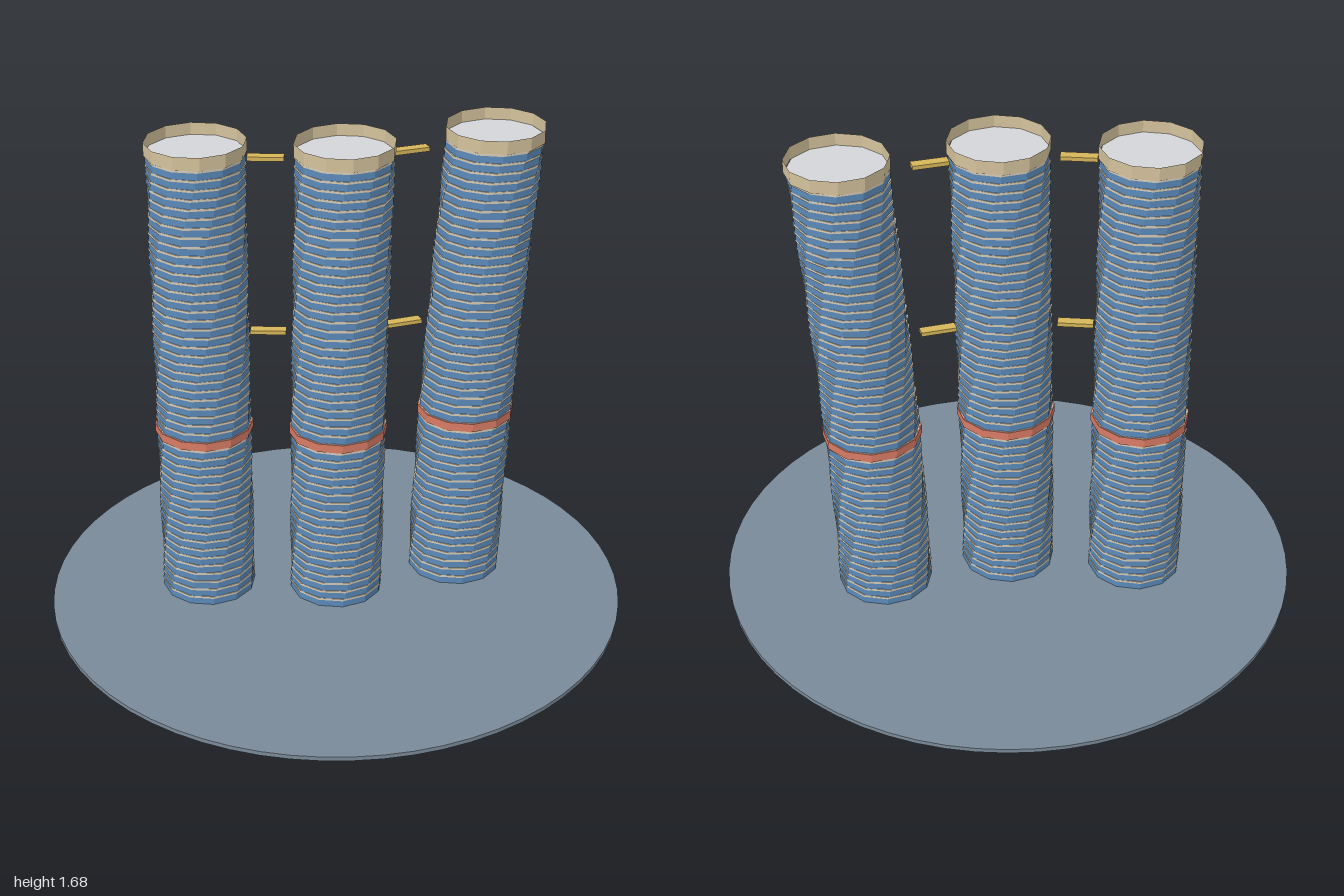
import * as THREE from 'three';
import { mergeGeometries } from 'three/addons/utils/BufferGeometryUtils.js';

const SIDES = 12, FLOORS = 50, BASE = 0.015, TOP = 1.635;
const STEP = (TOP - BASE) / FLOORS, SLAB = 0.008, R = 0.162;
const TWIST = THREE.MathUtils.degToRad(3);
const BAND_FLOOR = 19;

function mat(name, color, extra = {}) {
  const m = new THREE.MeshStandardMaterial({ color, flatShading: true, ...extra });
  m.name = name;
  return m;
}

export function createModel() {
  const glass = mat('blue glass', 0x5b8aba);
  const concrete = mat('pale concrete', 0xd6cab4);
  const sand = mat('crown sand', 0xd4c29c, { side: THREE.DoubleSide });
  const coral = mat('coral', 0xd97c66);
  const brass = mat('brass', 0xd6b65a);
  const roofGrey = mat('roof grey', 0xd3d5d9);
  const slate = mat('slate', 0x7a8a99);

  const model = new THREE.Group();
  model.name = 'twistedTowers';
  const add = (parent, name, geometry, material) => {
    const mesh = new THREE.Mesh(geometry, material);
    mesh.name = name;
    parent.add(mesh);
    return mesh;
  };

  // Sideways drift of a tower at height y
  const drift = (lean, y) => lean * Math.pow(Math.max(0, y - BASE) / (TOP - BASE), 1.4);

  // One prism of a tower, centred at height y and turned by the twist there
  const prism = (r, h, y, lean, floor, open = false) =>
    new THREE.CylinderGeometry(r, r, h, SIDES, 1, open)
      .rotateY(floor * TWIST)
      .translate(drift(lean, y), y, 0);

  // Round ground plate
  add(model, 'groundPlate', new THREE.CylinderGeometry(1, 1, BASE, 64), slate).position.y = BASE / 2;

  function tower(name, x, z, lean) {
    const group = new THREE.Group();
    group.name = name;
    group.position.set(x, 0, z);
    const floors = [], slabs = [];
    for (let i = 0; i < FLOORS; i++) {
      const y = BASE + (i + 0.5) * STEP;
      floors.push(prism(R, STEP - SLAB, y - SLAB / 2, lean, i));
      slabs.push(prism(R + 0.002, SLAB, y + (STEP - SLAB) / 2, lean, i));
    }
    add(group, 'glassFloors', mergeGeometries(floors), glass);
    add(group, 'floorSlabs', mergeGeometries(slabs), concrete);

    // Coloured belt around one floor
    const bandY = BASE + (BAND_FLOOR + 0.5) * STEP;
    add(group, 'belt', prism(0.168, 0.03, bandY, lean, BAND_FLOOR), coral);

    // Open parapet around a sunken roof
    add(group, 'parapet', prism(0.167, 0.045, TOP + 0.0225, lean, FLOORS, true), sand);
    add(group, 'roof', prism(0.165, 0.006, TOP + 0.001, lean, FLOORS), roofGrey);
    model.add(group);
  }

  tower('rightTower', -0.444, -0.083, 0);
  tower('middleTower', 0, 0, 0.029);
  tower('leftTower', 0.443, -0.083, 0.097);

  // Sky bridges at two levels, following the drift of the tower they start from
  for (const y of [1.007, 1.623]) {
    for (const side of [-1, 1]) {
      const bridge = add(model, 'skyBridge', new THREE.BoxGeometry(0.12, 0.014, 0.036), brass);
      bridge.position.set(side * 0.222 + (side > 0 ? drift(0.029, y) : 0), y, -0.042);
      bridge.rotation.y = side * 0.187;
    }
  }
  return model;
}
